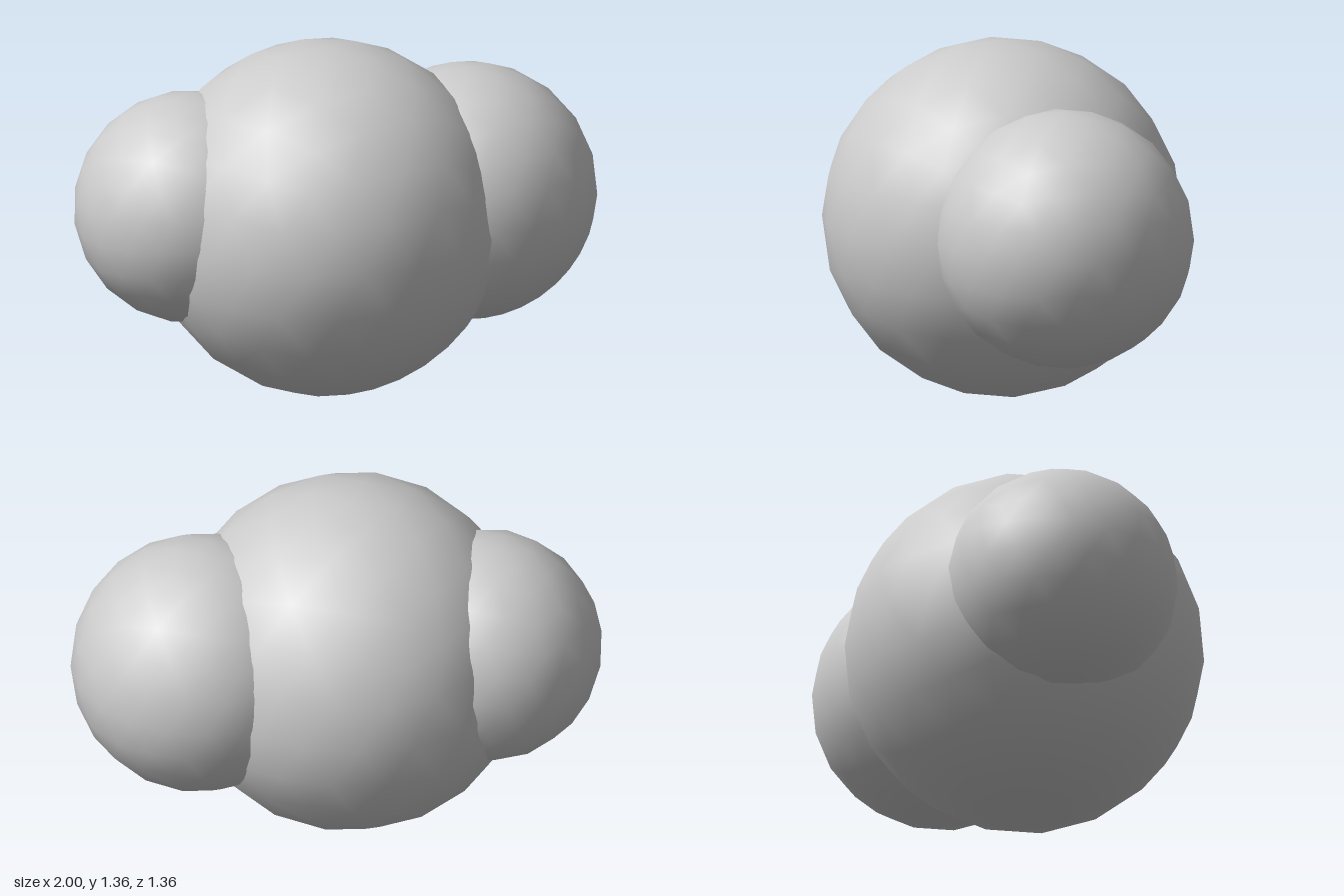
import * as THREE from 'three';

const material = new THREE.MeshStandardMaterial({ color: 0xcccccc });

// Smooth-shaded icosphere with a vertex at its pole
function lobe(name, radius, position, tilt = [0, 0, 0]) {
  const geometry = new THREE.IcosahedronGeometry(radius, 3);
  geometry.rotateZ(Math.atan(2 / (1 + Math.sqrt(5))));
  const mesh = new THREE.Mesh(geometry, material);
  mesh.name = name;
  mesh.position.set(...position);
  mesh.rotation.set(...tilt);
  return mesh;
}

export function createModel() {
  const group = new THREE.Group();
  group.name = 'sphereCluster';
  group.add(
    // large central ball
    lobe('centerSphere', 0.68, [-0.06, 0.68, 0]),
    // medium ball on the model's left
    lobe('leftSphere', 0.49, [0.51, 0.71, -0.09]),
    // small ball on the model's right, slightly turned
    lobe('rightSphere', 0.44, [-0.565, 0.738, -0.07], [0, 0.15, 0.15]),
  );
  return group;
}
